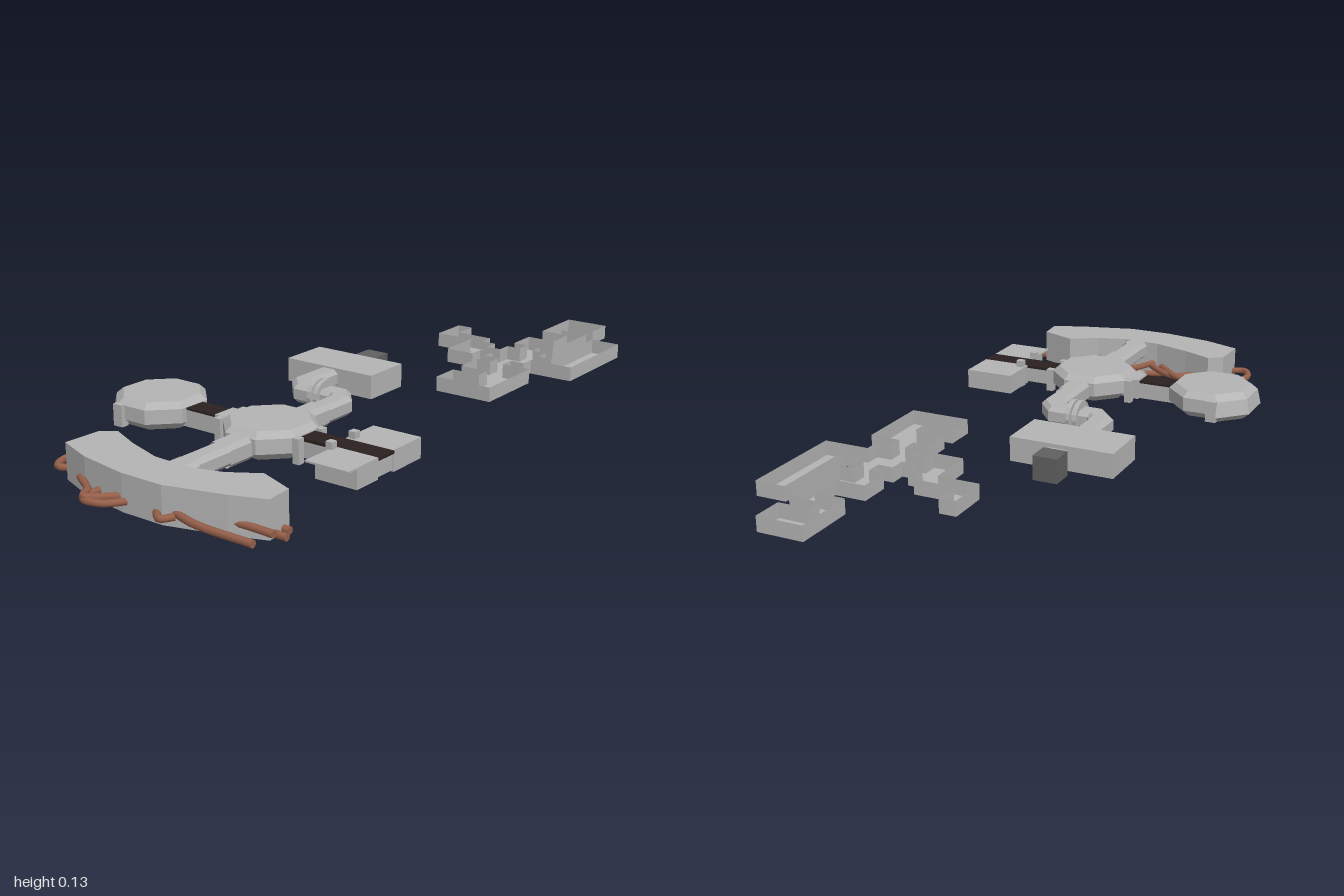
import * as THREE from 'three';

const mat = (name, color, side = THREE.FrontSide) =>
  Object.assign(new THREE.MeshStandardMaterial({ color, side }), { name });

export function createModel() {
  const root = new THREE.Group();
  const grey = mat('hull grey', 0xb4b4b4, THREE.DoubleSide);
  const dark = mat('dark grey', 0x606060);
  const brown = mat('copper brown', 0x96604a);
  const walkway = mat('walkway black', 0x2c2020);
  const black = mat('underside black', 0x171212);

  // Adds a mesh; faceted parts get one normal per face
  function add(name, geo, material, faceted = true, parent = root) {
    if (faceted) {
      if (geo.index) geo = geo.toNonIndexed();
      geo.computeVertexNormals();
    }
    const m = new THREE.Mesh(geo, material);
    m.name = name;
    parent.add(m);
    return m;
  }
  // Box given by its limits on each axis
  function box(name, x0, x1, y0, y1, z0, z1, material = grey) {
    const g = new THREE.BoxGeometry(x1 - x0, y1 - y0, z1 - z0);
    g.translate((x0 + x1) / 2, (y0 + y1) / 2, (z0 + z1) / 2);
    return add(name, g, material);
  }
  // Eight-sided lathe; profile radii measure to the flats
  function octagon(name, profile, x, z, material, start = Math.PI / 8, sides = 8) {
    const k = 1 / Math.cos(Math.PI / 8);
    const pts = profile.map(([r, y]) => new THREE.Vector2(r * k, y));
    const g = new THREE.LatheGeometry(pts, sides, start, sides * Math.PI / 4);
    g.translate(x, 0, z);
    return add(name, g, material);
  }
  // Chamfered corridor swept with mitred bends along [x, z] points
  function corridor(name, path, hw = 0.034, y0 = 0.05, y1 = 0.107, c = 0.013) {
    const ring = [[hw, y0 + c], [hw, y1 - c], [hw - c, y1], [c - hw, y1],
      [-hw, y1 - c], [-hw, y0 + c], [c - hw, y0], [hw - c, y0]];
    const p = path.map(([x, z]) => new THREE.Vector2(x, z));
    const pos = [], idx = [], n = ring.length;
    p.forEach((q, i) => {
      const a = q.clone().sub(p[Math.max(i - 1, 0)]).normalize();
      const b = p[Math.min(i + 1, p.length - 1)].clone().sub(q).normalize();
      const d = a.clone().add(b).normalize();
      const k = 1 / Math.max(d.dot(a), d.dot(b));
      ring.forEach(([s, y]) => pos.push(q.x + d.y * s * k, y, q.y - d.x * s * k));
      if (i) for (let j = 0; j < n; j++) {
        const o = (i - 1) * n, e = (j + 1) % n;
        idx.push(o + j, o + e, o + n + e, o + j, o + n + e, o + n + j);
      }
    });
    const g = new THREE.BufferGeometry();
    g.setAttribute('position', new THREE.Float32BufferAttribute(pos, 3));
    g.setIndex(idx);
    return add(name, g, grey);
  }

  // Central hub and rear chamber
  const cx = -0.435;
  const pod = [[0, 0.042], [0.1, 0.042], [0.126, 0.065], [0.126, 0.107], [0.108, 0.125], [0, 0.125]];
  const rearZ = -0.345;
  for (const [name, z] of [['hub', 0.06], ['rearChamber', rearZ]]) {
    octagon(name, pod, cx, z, grey);
    octagon(name + 'Underside', [[0, 0.038], [0.09, 0.038], [0.09, 0.042]], cx, z, black);
  }
  // Flared collar around the back of the rear chamber
  octagon('rearCollar', [[0.1, 0.04], [0.118, 0.04], [0.14, 0.06], [0.13, 0.107], [0.11, 0.125], [0.1, 0.115]],
    cx, rearZ, grey, Math.PI * 5 / 8, 3);
  for (const s of [-1, 1]) {
    const x = cx + s * 0.127;
    box('collarEnd', x - 0.012, x + 0.012, 0.045, 0.11, -0.403, -0.37);
  }

  // Rear link with its black walkway
  box('rearLink', cx - 0.034, cx + 0.034, 0.05, 0.1, -0.24, -0.05);
  box('rearWalkway', cx - 0.034, cx + 0.034, 0.1, 0.106, -0.23, -0.11, walkway);
  box('rearLinkCollar', cx - 0.038, cx + 0.038, 0.047, 0.11, -0.108, -0.06);

  // Front rooms beside a black walkway
  box('frontWalkway', cx - 0.034, cx + 0.034, 0.096, 0.104, 0.18, 0.445, walkway);
  box('frontLink', cx - 0.034, cx + 0.034, 0.05, 0.096, 0.18, 0.44);
  box('frontRoomRight', -0.56, cx - 0.034, 0.045, 0.1, 0.31, 0.443);
  box('frontRoomRightRoof', -0.596, cx - 0.034, 0.1, 0.105, 0.305, 0.443);
  box('frontRoomLeft', cx + 0.034, -0.275, 0.045, 0.105, 0.288, 0.443);

  // Door clamps on either side of both links
  for (const s of [-1, 1]) for (const z of [-0.08, 0.195, 0.305]) {
    const x = cx + s * 0.05;
    box('doorClamp', x - 0.011, x + 0.011, 0.038, z > 0.3 ? 0.125 : 0.11, z - 0.011, z + 0.011);
  }

  // Corridors to the crescent and to the side module
  corridor('rightCorridor', [[-0.82, 0.062], [-0.55, 0.062]]);
  corridor('rightCorridorEnd', [[-0.83, 0.065], [-0.765, 0.065]], 0.039);
  corridor('leftCorridor', [[-0.32, 0.062], [-0.125, 0.062], [-0.087, 0.03],
    [-0.087, -0.098], [-0.052, -0.13], [0.09, -0.13]]);
  for (const x of [-0.6, -0.27])
    corridor('corridorBand', [[x - 0.045, 0.062], [x + 0.045, 0.062]], 0.038, 0.047, 0.111);
  for (const z of [-0.046, -0.024]) {
    const ring = new THREE.CylinderGeometry(0.05, 0.05, 0.014, 16);
    ring.rotateX(Math.PI / 2).translate(-0.087, 0.08, z);
    add('jointRing', ring, grey);
  }

  // Side module with dark end block
  box('sideModule', 0.072, 0.232, 0.038, 0.112, -0.29, 0.03);
  box('sideModuleDoor', 0.23, 0.252, 0.05, 0.1, -0.15, -0.095);
  box('endBlock', 0.25, 0.32, 0.032, 0.105, -0.16, -0.085, dark);

  // Crescent building
  const outline = [[-0.869, -0.275], [-0.912, -0.158], [-0.938, 0], [-0.938, 0.136], [-0.89, 0.307],
    [-0.853, 0.404], [-0.773, 0.398], [-0.73, 0.286], [-0.783, 0.2], [-0.81, 0.11], [-0.805, -0.013],
    [-0.767, -0.131], [-0.725, -0.227], [-0.757, -0.27]].map(([x, z]) => new THREE.Vector2(x, z));
  const crescent = new THREE.ExtrudeGeometry(new THREE.Shape(outline), { depth: 0.105, bevelEnabled: false });
  crescent.rotateX(Math.PI / 2).translate(0, 0.107, 0);
  add('crescent', crescent, grey);

  // Copper pipes looping around the crescent: [height, ...[x, z]]
  const pipes = [
    [0.032, [-0.84, -0.25], [-0.868, -0.31], [-0.81, -0.34], [-0.755, -0.32], [-0.745, -0.23]],
    [0.035, [-0.77, -0.19], [-0.71, -0.19], [-0.69, -0.14], [-0.78, -0.04]],
    [0.03, [-0.76, -0.16], [-0.715, -0.11], [-0.78, -0.01], [-0.82, 0.02]],
    [0.04, [-0.9, -0.19], [-0.95, -0.11], [-0.988, -0.085], [-0.92, 0]],
    [0.032, [-0.91, -0.1], [-0.985, -0.09], [-0.98, -0.03], [-0.92, 0.02]],
    [0.035, [-0.81, 0], [-0.72, 0.05], [-0.71, 0.13], [-0.79, 0.2]],
    [0.014, [-0.82, -0.1], [-0.76, -0.03], [-0.745, 0.08], [-0.8, 0.15]],
    [0.036, [-0.91, 0.13], [-0.945, 0.25], [-0.95, 0.435]],
    [0.034, [-0.88, 0.28], [-0.873, 0.34], [-0.875, 0.435]],
    [0.013, [-0.835, 0.3], [-0.833, 0.44]],
    [0.013, [-0.8, 0.3], [-0.797, 0.42]],
    [0.03, [-0.92, 0.1], [-0.96, 0.15], [-0.93, 0.17]],
  ];
  for (const [y, ...pts] of pipes) {
    const curve = new THREE.CatmullRomCurve3(pts.map(([x, z]) => new THREE.Vector3(x, y, z)));
    add('pipe', new THREE.TubeGeometry(curve, 20, 0.0105, 8), brown, false);
    for (const [t, turn] of [[0, -1], [1, 1]]) {
      const cap = new THREE.CircleGeometry(0.0105, 8);
      const m = add('pipeEnd', cap, brown, false);
      m.position.copy(curve.getPoint(t));
      m.lookAt(m.position.clone().addScaledVector(curve.getTangent(t), turn));
    }
  }

  // Open-topped maze on a regular grid: floor and thin walls
  const cell = 0.0461;
  const maze = [[0, 0], [2, 0], [2, 2], [3, 2], [3, 0], [5, 0], [5, 1], [6, 1], [6, 0], [7, 0], [7, -1],
    [6, -1], [6, -3], [9, -3], [9, -5.7], [11.7, -5.7], [11.7, -4.6], [10, -4.6], [10, -2], [9, -2], [9, -1],
    [8, -1], [8, 0], [9, 0], [9, 1], [10, 1], [10, 0], [12, 0], [12, 2], [14, 2], [14, 0], [18, 0],
    [18, 3], [16, 3], [16, 1], [15, 1], [15, 3], [10, 3], [10, 2], [9, 2], [9, 3], [8, 3], [8, 4],
    [14, 4], [14, 6], [7, 6], [7, 3], [6, 3], [6, 2], [5, 2], [5, 4], [0, 4]]
    .map(([i, j]) => new THREE.Vector2(0.17 + i * cell, 0.2 + j * cell));
  const floor = new THREE.ShapeGeometry(new THREE.Shape(maze));
  // Flipped so that the floor faces up
  floor.rotateX(Math.PI / 2).translate(0, 0.073, 0);
  const fi = floor.index;
  for (let i = 0; i < fi.count; i += 3) {
    const a = fi.getX(i);
    fi.setX(i, fi.getX(i + 1));
    fi.setX(i + 1, a);
  }
  add('mazeFloor', floor, grey);
  const wallPos = [];
  maze.forEach((a, i) => {
    const b = maze[(i + 1) % maze.length], lo = 0.073, hi = 0.117;
    wallPos.push(a.x, lo, a.y, a.x, hi, a.y, b.x, hi, b.y, a.x, lo, a.y, b.x, hi, b.y, b.x, lo, b.y);
  });
  const walls = new THREE.BufferGeometry();
  walls.setAttribute('position', new THREE.Float32BufferAttribute(wallPos, 3));
  add('mazeWalls', walls, grey);

  return root;
}
